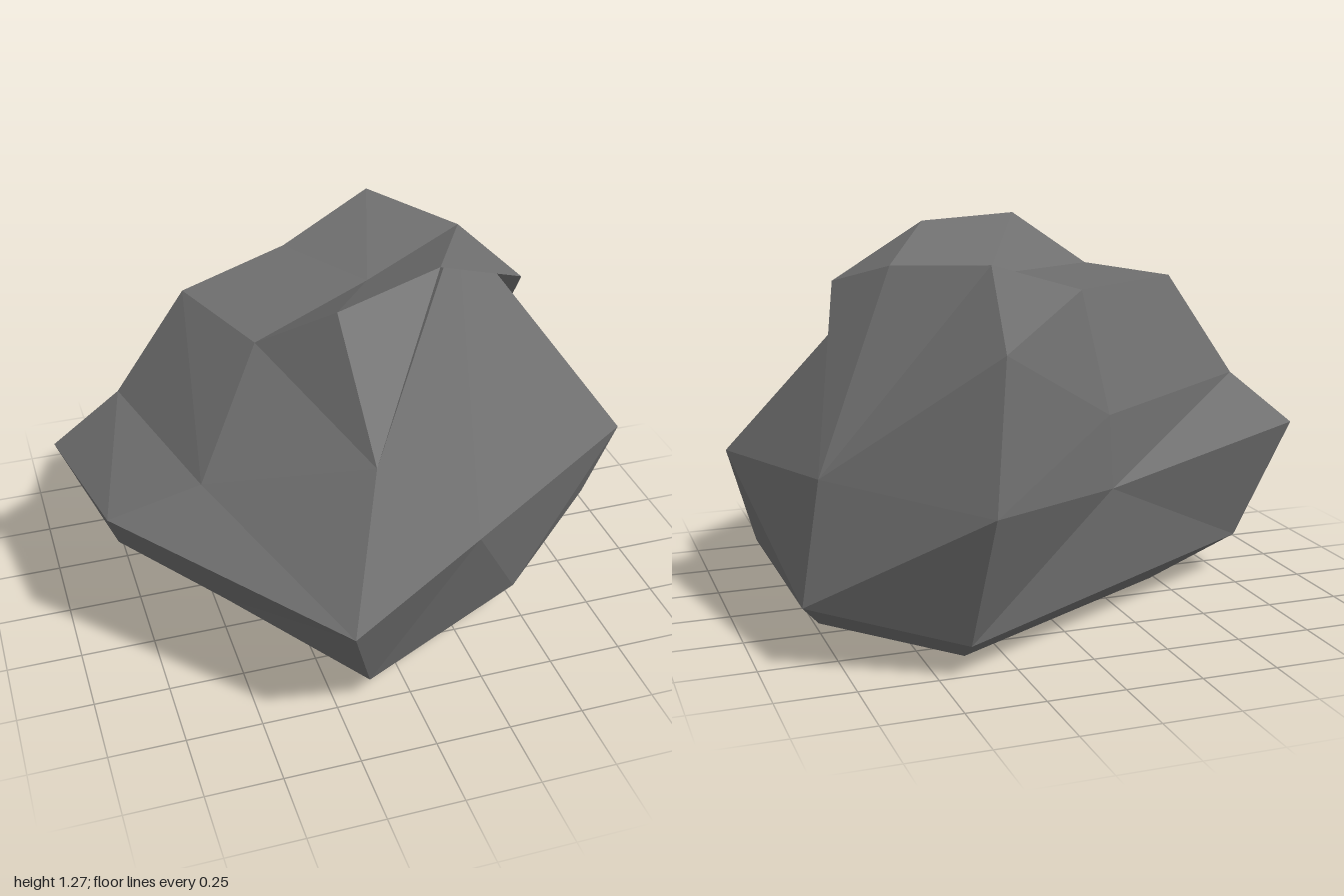
import * as THREE from 'three';

// Cross-sections of the boulder, each running front -> left -> back -> right
const base = [[-0.09, 0, 0.57], [0.75, 0, 0.09], [0.37, 0, -0.59], [-0.48, 0, -0.11]];
const foot = [[-0.14, 0.09, 0.75], [0.46, 0.145, 0.5], [0.88, 0.215, 0.14], [0.87, 0.21, -0.57],
  [0.41, 0.11, -0.79], [-0.79, 0.145, -0.15], [-0.5, 0.14, 0.27]];
const waist = [[-0.27, 0.49, 1], [0.21, 0.59, 0.77], [0.96, 0.52, 0.21], [0.8, 0.59, -0.52],
  [0.4, 0.56, -1], [-0.15, 0.475, -0.53], [-0.97, 0.56, -0.21], [-0.88, 0.6, 0.34]];
const crown = [[-0.15, 1.27, 0.43], [0.25, 1.27, 0.24], [0.49, 1.18, -0.22], [0.26, 1.21, -0.54],
  [-0.09, 1.1, -0.4], [-0.5, 1.1, -0.17], [-0.36, 1.1, 0.24]];
// The shoulder ring shares its two left points with the crown
const shoulder = [[-0.12, 0.895, 0.73], crown[2], crown[3], [0.33, 1.0, -0.88],
  [-0.14, 0.715, -0.52], [-0.74, 0.75, -0.18], [-0.59, 0.73, 0.42]];
const undercut = [0.79, 0.1, -0.42]; // notch under the left rear corner
const hollow = [0.1, 1.11, -0.04];   // dip in the middle of the top
const ledge = [0.61, 1.1, 0.07];     // tip of the overhanging ledge

// Joins two closed rings; each letter steps along the lower (l) or upper (u) ring
function stitch(lower, upper, steps) {
  const faces = [];
  let i = 0, j = 0;
  for (const step of steps) {
    const a = lower[i % lower.length], b = upper[j % upper.length];
    const next = step === 'l' ? lower[++i % lower.length] : upper[++j % upper.length];
    if (a !== b && a !== next && b !== next) faces.push([a, next, b]);
  }
  return faces;
}

function facetMesh(name, faces, material) {
  const geometry = new THREE.BufferGeometry();
  geometry.setAttribute('position', new THREE.Float32BufferAttribute(faces.flat(2), 3));
  geometry.computeVertexNormals();
  const mesh = new THREE.Mesh(geometry, material);
  mesh.name = name;
  return mesh;
}

export function createModel() {
  const stone = new THREE.MeshStandardMaterial({ color: 0x6e6e6e, flatShading: true, side: THREE.DoubleSide });
  stone.name = 'grey stone';

  // The underside stays open
  const footWithNotch = foot.map((p, i) => (i === 3 ? undercut : p));
  const skirt = [
    ...stitch(base, footWithNotch, 'uluululuulu'),
    [foot[2], undercut, foot[3]],
    [undercut, foot[4], foot[3]],
  ];
  const cap = crown.map((p, i) => [p, crown[(i + 1) % crown.length], hollow]);
  const overhang = [[crown[1], ledge, crown[2]], [crown[2], ledge, waist[3]]];

  const rock = new THREE.Group();
  rock.name = 'boulder';
  rock.add(
    facetMesh('skirt', skirt, stone),
    facetMesh('lowerSides', stitch(foot, waist, 'ululluululuulul'), stone),
    facetMesh('upperSides', stitch(waist, shoulder, 'lulluululullulu'), stone),
    facetMesh('shoulders', stitch(shoulder, crown, 'uulullulullulu'.replace('lululluu', 'lululluu')), stone),
    facetMesh('top', cap, stone),
    facetMesh('ledge', overhang, stone),
  );
  return rock;
}
